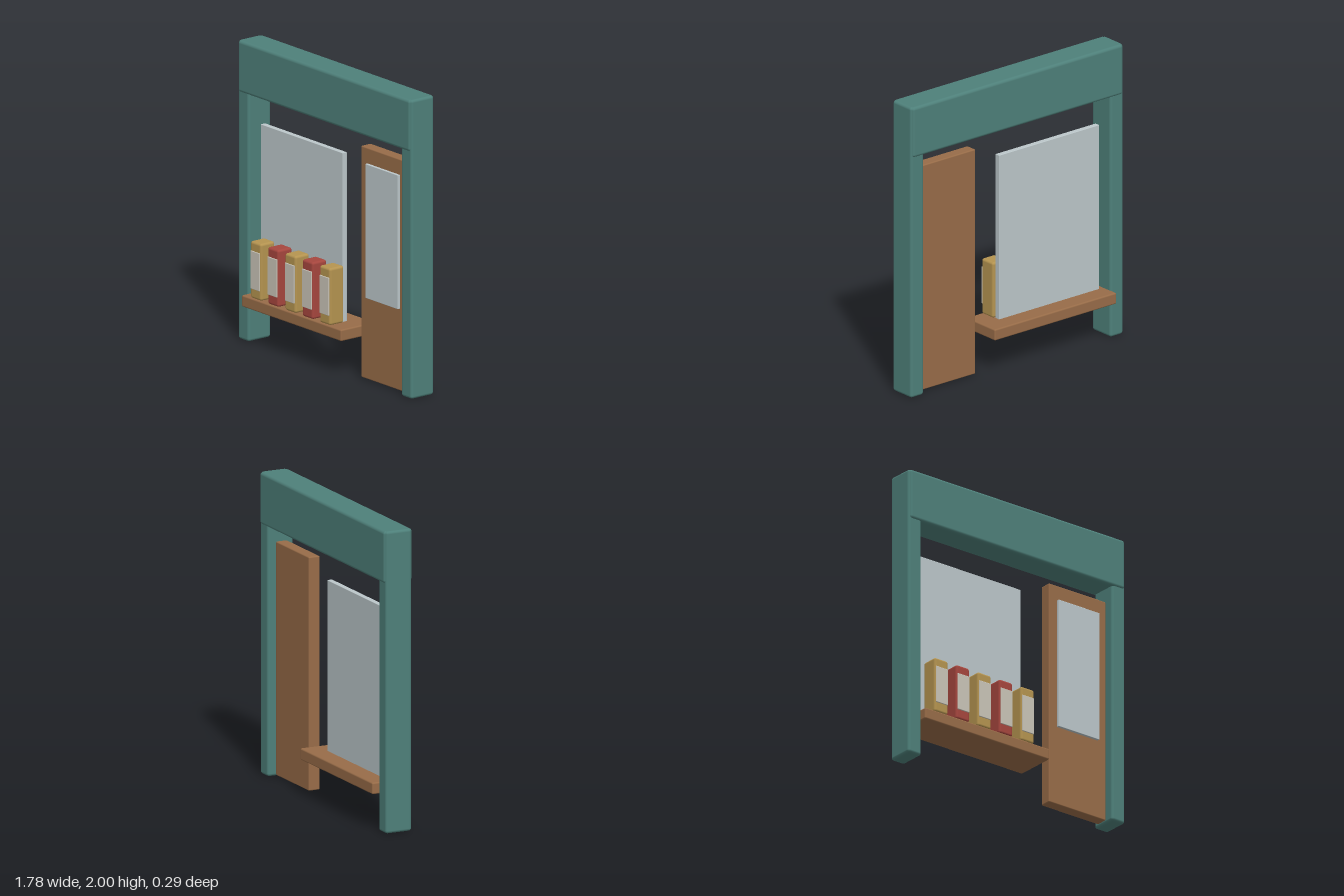
import * as THREE from 'three';
import { RoundedBoxGeometry } from 'three/addons/geometries/RoundedBoxGeometry.js';

function material(name, color) {
  const m = new THREE.MeshStandardMaterial({ color });
  m.name = name;
  return m;
}

export function createModel() {
  const group = new THREE.Group();
  group.name = 'shopFront';

  const teal = material('teal paint', 0x4e807a);
  const wood = material('brown wood', 0x986c48);
  const glass = material('pale glass', 0xbcc7ca);
  const gold = material('gold packet', 0xb59450);
  const red = material('red packet', 0xa6463e);
  const cream = material('cream label', 0xcac5b8);

  // Softly rounded block given by its [min, max] range on each axis
  function block(name, mat, x, y, z, radius, parent = group) {
    const geo = new RoundedBoxGeometry(x[1] - x[0], y[1] - y[0], z[1] - z[0], 3, radius);
    const mesh = new THREE.Mesh(geo, mat);
    mesh.name = name;
    mesh.position.set((x[0] + x[1]) / 2, (y[0] + y[1]) / 2, (z[0] + z[1]) / 2);
    parent.add(mesh);
    return mesh;
  }

  // Frame: two posts and the deep sign beam
  block('leftPost', teal, [0.78, 0.888], [0, 2], [-0.093, 0.093], 0.018);
  block('rightPost', teal, [-0.888, -0.78], [0, 2], [-0.093, 0.093], 0.018);
  block('signBeam', teal, [-0.88, 0.88], [1.655, 2], [-0.102, 0.102], 0.02);

  // Door with a raised pane
  block('door', wood, [0.305, 0.77], [0.008, 1.556], [-0.04, 0.04], 0.008);
  block('doorPane', glass, [0.37, 0.704], [0.555, 1.452], [0.03, 0.058], 0.003);

  // Display window and shelf
  block('windowPane', glass, [-0.748, 0.09], [0.3, 1.452], [-0.018, 0.018], 0.003);
  block('shelf', wood, [-0.79, 0.228], [0.245, 0.322], [-0.142, 0.142], 0.01);

  // Row of packets in alternating colours, each with a front label
  for (let i = 0; i < 5; i++) {
    const packet = new THREE.Group();
    packet.name = `packet${i + 1}`;
    packet.position.x = -0.653 + i * 0.1767;
    group.add(packet);
    block('packetBody', i % 2 ? red : gold, [-0.055, 0.055], [0.322, 0.703], [0.02, 0.137], 0.016, packet);
    block('packetLabel', cream, [-0.048, 0.048], [0.387, 0.642], [0.135, 0.144], 0.004, packet);
  }

  return group;
}
